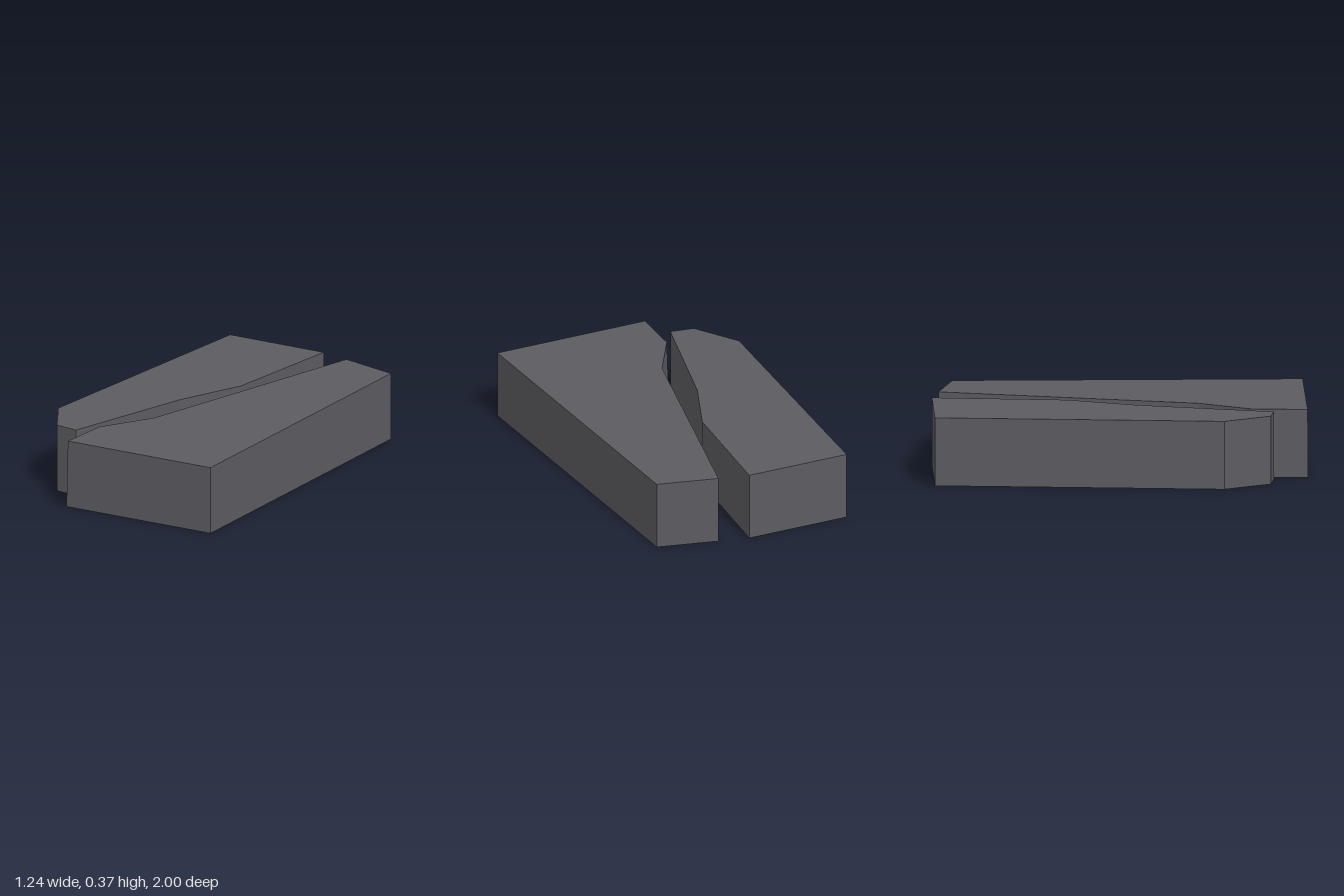
import * as THREE from 'three';

const HEIGHT = 0.365;

// Flat-topped block with an open underside; outlines are [x, z], counter-clockwise from above
function openBlock(top, bottom = top) {
  const positions = [];
  const upper = top.map(([x, z]) => [x, HEIGHT, z]);
  const lower = bottom.map(([x, z]) => [x, 0, z]);
  const triangle = (a, b, c) => positions.push(...a, ...b, ...c);

  // Side walls
  upper.forEach((_, i) => {
    const j = (i + 1) % upper.length;
    triangle(lower[i], lower[j], upper[j]);
    triangle(lower[i], upper[j], upper[i]);
  });

  // Roof
  const contour = top.map(([x, z]) => new THREE.Vector2(x, -z));
  for (const [a, b, c] of THREE.ShapeUtils.triangulateShape(contour, [])) {
    triangle(upper[a], upper[b], upper[c]);
  }

  const geometry = new THREE.BufferGeometry();
  geometry.setAttribute('position', new THREE.Float32BufferAttribute(positions, 3));
  geometry.computeVertexNormals();
  return geometry;
}

export function createModel() {
  const group = new THREE.Group();
  const darkGrey = new THREE.MeshStandardMaterial({ color: 0x5c5b60 });
  darkGrey.name = 'dark grey';
  darkGrey.side = THREE.DoubleSide;

  const add = (name, geometry) => {
    const mesh = new THREE.Mesh(geometry, darkGrey);
    mesh.name = name;
    group.add(mesh);
  };

  // Narrow block with a kinked inner side and a clipped front corner
  add('rightBlock', openBlock([
    [-0.593, -0.956], [-0.619, 0.575], [-0.459, 0.812], [-0.329, 0.823],
    [-0.176, 0.088], [-0.048, -0.284], [-0.018, -1],
  ]));

  // Wide block; its front inner wall leans slightly
  const shared = [[0.616, 0.928], [0.476, -0.916], [0.147, -0.973], [-0.111, 0.415]];
  add('leftBlock', openBlock(
    [...shared, [-0.26, 0.705], [-0.257, 0.997]],
    [...shared, [-0.269, 0.698], [-0.264, 1]],
  ));

  return group;
}
